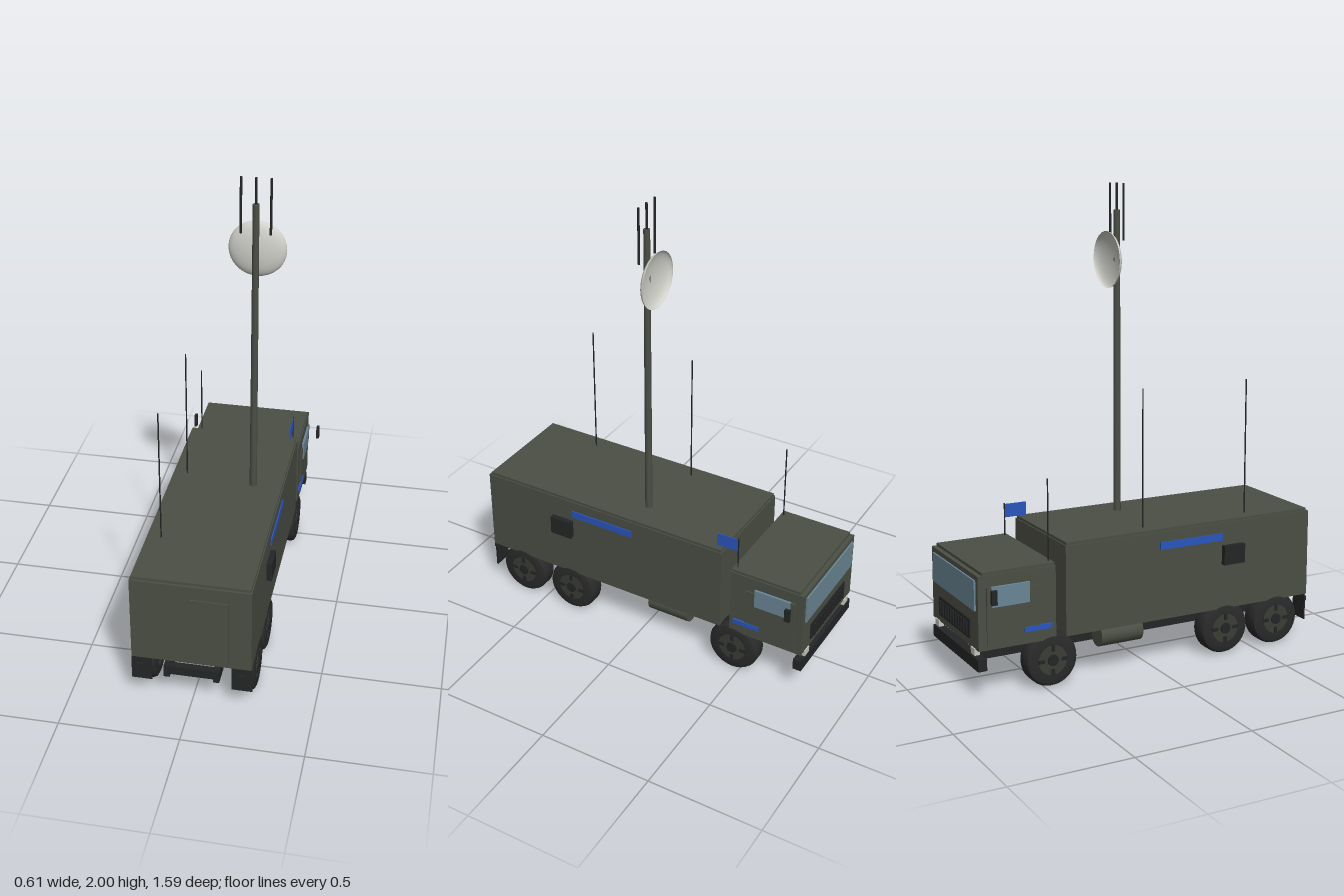
import * as THREE from 'three';
import { toCreasedNormals } from 'three/addons/utils/BufferGeometryUtils.js';

const mat = (name, color, side = THREE.FrontSide) => {
  const m = new THREE.MeshStandardMaterial({ color, side });
  m.name = name;
  return m;
};

export function createModel() {
  const model = new THREE.Group();
  model.name = 'mastTruck';

  const olive = mat('olive paint', 0x4b4f44);
  const hubPaint = mat('hub paint', 0x3a3e35);
  const black = mat('black metal', 0x242526);
  const rubber = mat('tyre rubber', 0x2a2a2a);
  const glass = mat('window glass', 0x6a8796);
  const blue = mat('blue marking', 0x2a56bd, THREE.DoubleSide);
  const pale = mat('pale dish', 0xd2d2cc, THREE.DoubleSide);
  const lamp = mat('lamp', 0xc8c8c0);

  const add = (name, geo, m, x = 0, y = 0, z = 0, parent = model) => {
    const mesh = new THREE.Mesh(geo, m);
    mesh.name = name;
    mesh.position.set(x, y, z);
    parent.add(mesh);
    return mesh;
  };
  // Box given by its limits on each axis
  const box = (name, m, [x0, x1], [y0, y1], [z0, z1]) =>
    add(name, new THREE.BoxGeometry(x1 - x0, y1 - y0, z1 - z0), m,
      (x0 + x1) / 2, (y0 + y1) / 2, (z0 + z1) / 2);
  // The same box on both sides, x given for the left (+x) side
  const pair = (name, m, [x0, x1], y, z) => {
    box(name + 'Left', m, [x0, x1], y, z);
    box(name + 'Right', m, [-x1, -x0], y, z);
  };
  // Upright rod between two heights
  const rod = (name, m, r, x, y0, y1, z, rTop = r, sides = 8) =>
    add(name, new THREE.CylinderGeometry(rTop, r, y1 - y0, sides), m, x, (y0 + y1) / 2, z);

  // Chassis
  pair('frameRail', black, [0.09, 0.115], [0.118, 0.172], [-0.71, 0.775]);
  [-0.68, -0.3, -0.02, 0.2, 0.48, 0.75].forEach((z) =>
    box('crossMember', black, [-0.1, 0.1], [0.125, 0.165], [z - 0.015, z + 0.015]));
  box('frontBumper', black, [-0.245, 0.245], [0.118, 0.168], [-0.79, -0.752]);
  pair('bumperBracket', black, [0.09, 0.115], [0.13, 0.16], [-0.76, -0.7]);
  pair('mudFlap', black, [0.165, 0.25], [0.088, 0.2], [0.762, 0.768]);
  pair('tailLamp', black, [0.193, 0.224], [0.163, 0.183], [0.783, 0.793]);
  [-1, 1].forEach((s) => {
    const tank = add('fuelTank', new THREE.CylinderGeometry(0.05, 0.05, 0.195, 24), olive, s * 0.165, 0.155, -0.128);
    tank.rotation.x = Math.PI / 2;
  });

  // Cargo shelter
  box('shelterBody', olive, [-0.247, 0.247], [0.203, 0.583], [-0.405, 0.775]);
  box('shelterRoof', olive, [-0.242, 0.242], [0.583, 0.595], [-0.4, 0.765]);
  box('rearDoor', olive, [0, 0.153], [0.222, 0.523], [0.775, 0.781]);
  pair('sideVent', black, [0.247, 0.27], [0.402, 0.485], [0.332, 0.435]);
  pair('shelterStripe', blue, [0.247, 0.252], [0.507, 0.539], [0.03, 0.333]);

  // Cab
  box('cabBody', olive, [-0.247, 0.247], [0.203, 0.51], [-0.787, -0.45]);
  box('cabRoof', olive, [-0.242, 0.242], [0.51, 0.522], [-0.768, -0.453]);
  box('windscreen', glass, [-0.225, 0.225], [0.365, 0.49], [-0.794, -0.787]);
  box('grille', black, [-0.165, 0.165], [0.235, 0.315], [-0.793, -0.787]);
  for (let i = 0; i < 11; i++) {
    const x = -0.14 + i * 0.028;
    box('grilleBar', black, [x - 0.007, x + 0.007], [0.245, 0.305], [-0.8, -0.793]);
  }
  pair('headlamp', lamp, [0.175, 0.215], [0.178, 0.206], [-0.792, -0.77]);
  pair('cabDoor', olive, [0.247, 0.252], [0.222, 0.442], [-0.752, -0.522]);
  pair('sideWindow', glass, [0.247, 0.257], [0.378, 0.462], [-0.732, -0.568]);
  pair('windowFrame', olive, [0.247, 0.256], [0.385, 0.462], [-0.752, -0.732]);
  pair('cabStripe', blue, [0.247, 0.256], [0.254, 0.275], [-0.592, -0.47]);
  pair('mirror', black, [0.293, 0.306], [0.403, 0.462], [-0.752, -0.728]);

  // Wheels: tyre, hub disc, centre cap and four lugs
  const tyreProfile = [[0.06, -0.042], [0.095, -0.043], [0.108, -0.037], [0.114, -0.024],
    [0.114, 0.024], [0.108, 0.037], [0.095, 0.043], [0.06, 0.042]].map(([r, y]) => new THREE.Vector2(r, y));
  const tyreGeo = toCreasedNormals(new THREE.LatheGeometry(tyreProfile, 32), 0.7);
  const makeWheel = (side, z) => {
    const wheel = new THREE.Group();
    wheel.name = 'wheel';
    add('tyre', tyreGeo, rubber, 0, 0, 0, wheel);
    add('hub', new THREE.CylinderGeometry(0.063, 0.063, 0.087, 24), hubPaint, 0, 0, 0, wheel);
    add('hubCap', new THREE.CylinderGeometry(0.024, 0.024, 0.098, 16), black, 0, 0, 0, wheel);
    for (let i = 0; i < 4; i++) {
      const a = i * Math.PI / 2;
      const lug = add('lug', new THREE.BoxGeometry(0.026, 0.094, 0.015), black,
        Math.cos(a) * 0.05, 0, Math.sin(a) * 0.05, wheel);
      lug.rotation.y = -a;
    }
    wheel.rotation.z = -side * Math.PI / 2;
    wheel.position.set(side * 0.206, 0.114, z);
    model.add(wheel);
  };
  [-0.467, 0.353, 0.613].forEach((z) => {
    makeWheel(1, z);
    makeWheel(-1, z);
    const axle = add('axle', new THREE.CylinderGeometry(0.02, 0.02, 0.4, 12), black, 0, 0.114, z);
    axle.rotation.z = Math.PI / 2;
  });

  // Mast with dish and top aerials
  const mx = 0.117, mz = 0.021;
  rod('mast', olive, 0.016, mx, 0.59, 1.89, mz, 0.0135, 16);
  rod('mastTopAerial', black, 0.005, mx, 1.88, 2, mz);
  [-0.06, 0.06].forEach((d) => rod('mastSideAerial', black, 0.005, mx + d, 1.765, 2, mz));
  const bowl = new THREE.SphereGeometry(0.119, 32, 12, 0, Math.PI * 2, 0, Math.PI / 2);
  bowl.rotateX(Math.PI / 2);
  bowl.scale(1, 1, 0.3);
  add('dish', bowl, pale, mx, 1.683, -0.028);

  // Whip aerials and flag
  [-0.018, 0.483].forEach((z) => rod('roofAerial', black, 0.003, -0.183, 0.59, 1.18, z));
  rod('cabAerial', black, 0.003, -0.212, 0.515, 0.86, -0.466);
  rod('flagPole', black, 0.003, 0.217, 0.515, 0.662, -0.468);
  box('flag', blue, [0.215, 0.219], [0.6, 0.658], [-0.468, -0.368]);

  return model;
}
